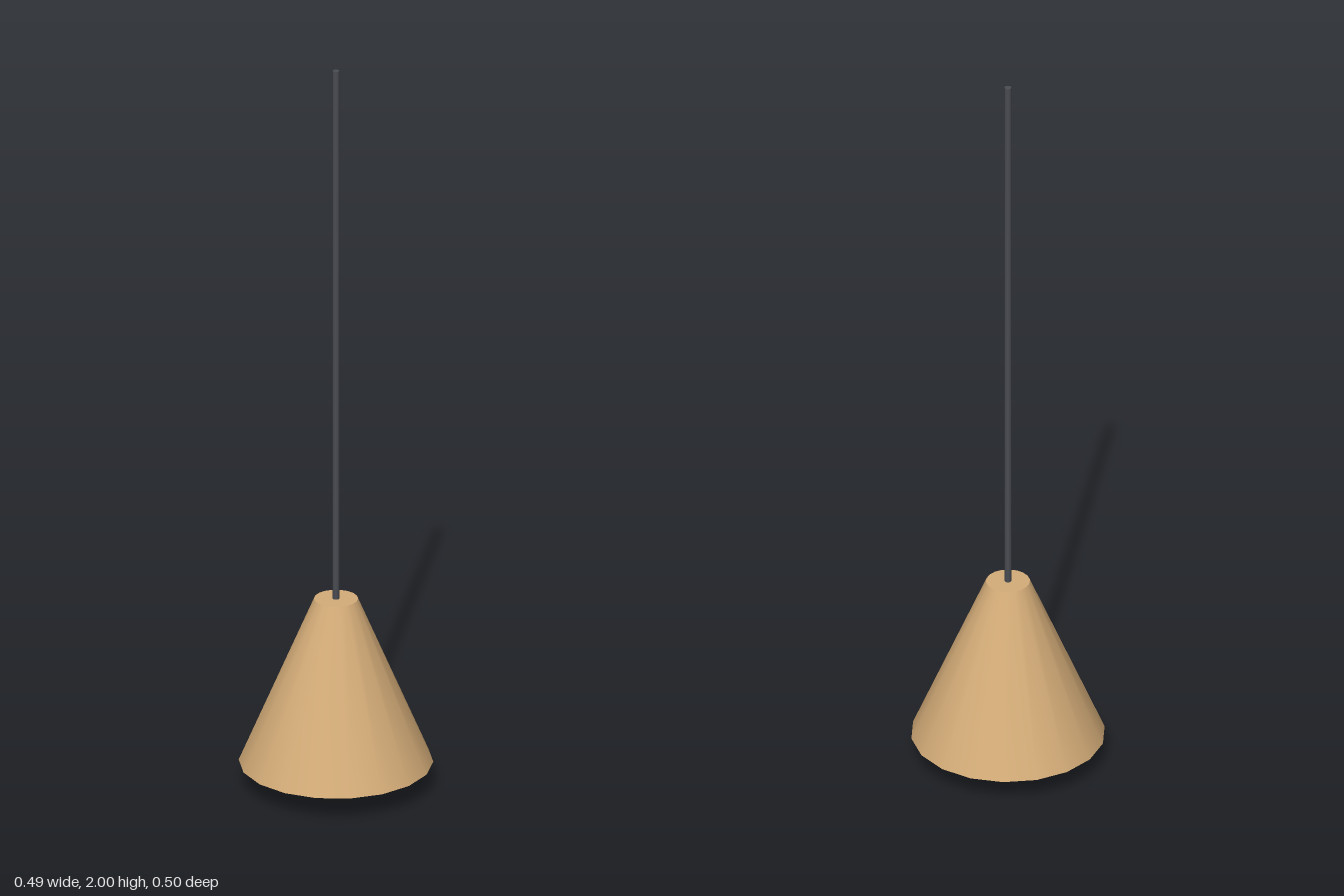
import * as THREE from 'three';

const tan = new THREE.MeshStandardMaterial({ name: 'tan shade', color: 0xd4ac78 });
const charcoal = new THREE.MeshStandardMaterial({ name: 'charcoal cord', color: 0x4a4d54 });
const cream = new THREE.MeshStandardMaterial({ name: 'cream bulb', color: 0xe6d6b4 });

const SHADE_BOTTOM = 0.065;
const SHADE_TOP = 0.52;
const BULB_RADIUS = 0.074;

export function createModel() {
  const lamp = new THREE.Group();
  lamp.name = 'pendantLamp';

  const add = (name, geometry, material, y) => {
    const mesh = new THREE.Mesh(geometry, material);
    mesh.name = name;
    mesh.position.y = y;
    lamp.add(mesh);
  };

  // Upright cylinder or cone spanning two heights
  const upright = (name, rTop, rBottom, y0, y1, sides, material) =>
    add(name, new THREE.CylinderGeometry(rTop, rBottom, y1 - y0, sides), material, (y0 + y1) / 2);

  // Closed conical shade and the thin cord it hangs from
  upright('shade', 0.057, 0.251, SHADE_BOTTOM, SHADE_TOP, 18, tan);
  upright('cord', 0.009, 0.009, SHADE_TOP, 2, 8, charcoal);

  // Bulb emerging from the underside of the shade
  add('bulb', new THREE.SphereGeometry(BULB_RADIUS, 16, 12), cream, BULB_RADIUS);

  return lamp;
}
